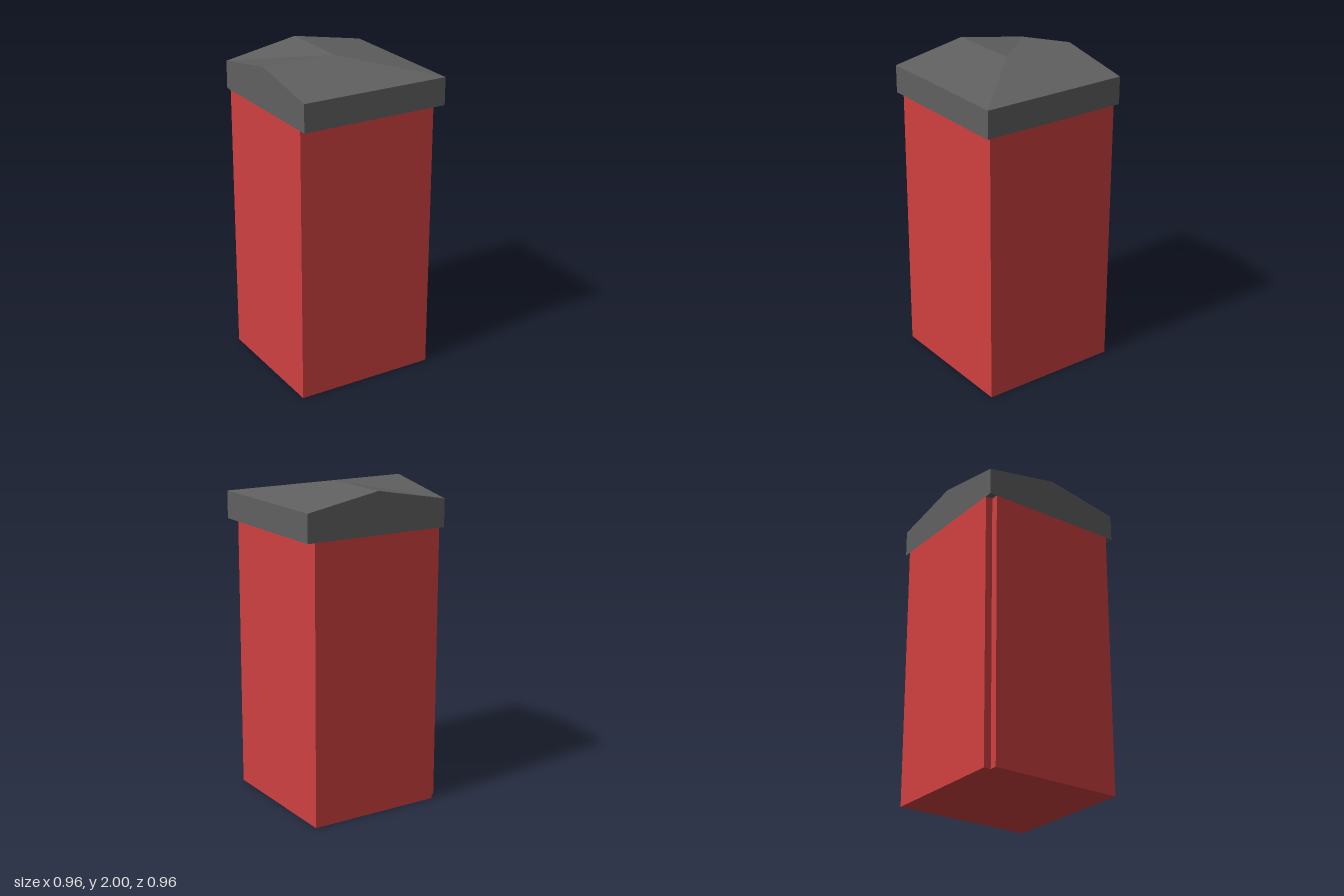
import * as THREE from 'three';

const HALF = 0.478;   // half width of the cap
const INSET = 0.431;  // body faces that sit back under the overhang
const CAP_BOTTOM = 1.74, EAVE = 1.913, RIDGE = 2;

// Corner pillar: runs out flush to -x and -z, with a small square notch where those sides meet
function createBody() {
  const shape = new THREE.Shape([
    [INSET, -INSET], [INSET, HALF], [-INSET, HALF],
    [-INSET, INSET], [-HALF, INSET], [-HALF, -INSET],
  ].map(([x, y]) => new THREE.Vector2(x, y)));
  const geometry = new THREE.ExtrudeGeometry(shape, { depth: CAP_BOTTOM, bevelEnabled: false });
  geometry.rotateX(-Math.PI / 2);
  const body = new THREE.Mesh(geometry, new THREE.MeshStandardMaterial({ color: 0xd04040 }));
  body.name = 'pillarBody';
  return body;
}

// Cap: two ridges run from the centre to -x and -z, with a valley between them and a hip opposite
function createCap() {
  // The quarter turn lines the face diagonals up with the hip and valley
  const box = new THREE.BoxGeometry(2 * HALF, 1, 2 * HALF, 2, 1, 2).rotateY(Math.PI / 2);
  const pos = box.attributes.position;
  for (let i = 0; i < pos.count; i++) {
    const x = pos.getX(i), z = pos.getZ(i);
    const alongX = Math.max(Math.abs(z), x);
    const alongZ = Math.max(Math.abs(x), z);
    const fall = Math.min(alongX, alongZ) / HALF;
    const top = THREE.MathUtils.lerp(RIDGE, EAVE, Math.max(0, fall));
    pos.setY(i, pos.getY(i) > 0 ? top : CAP_BOTTOM);
  }
  const geometry = box.toNonIndexed();
  geometry.computeVertexNormals();
  const cap = new THREE.Mesh(geometry, new THREE.MeshStandardMaterial({ color: 0x606060, flatShading: true }));
  cap.name = 'roofCap';
  return cap;
}

export function createModel() {
  const model = new THREE.Group();
  model.name = 'cornerPillar';
  model.add(createBody(), createCap());
  return model;
}
